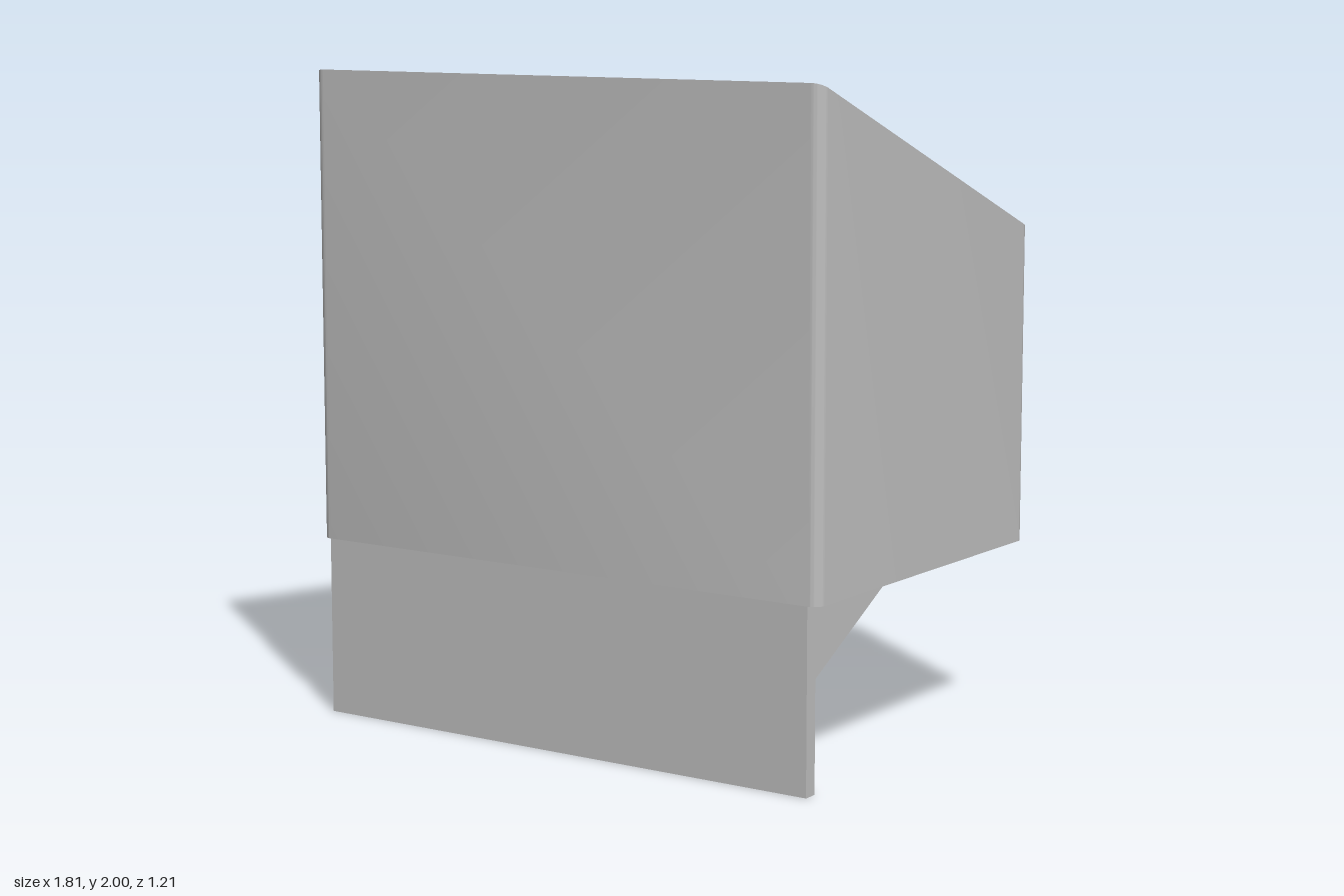
import * as THREE from 'three';
import { toCreasedNormals } from 'three/addons/utils/BufferGeometryUtils.js';

const BASE = 0.55, FRONT = 0.605, PLATE_BACK = 0.56;

// Rounded rectangle between x = -w..w and z = back..front, as a plan (shape y is -z)
function roundedPlan(w, back, front, r, PathType = THREE.Shape) {
  const p = new PathType(), lo = -front, hi = -back;
  p.absarc(w - r, lo + r, r, -Math.PI / 2, 0);
  p.absarc(w - r, hi - r, r, 0, Math.PI / 2);
  p.absarc(-w + r, hi - r, r, Math.PI / 2, Math.PI);
  p.absarc(-w + r, lo + r, r, Math.PI, Math.PI * 1.5);
  p.closePath();
  return p;
}

function extrudeUp(shape, y, height) {
  return new THREE.ExtrudeGeometry(shape, { depth: height, bevelEnabled: false, curveSegments: 8 })
    .rotateX(-Math.PI / 2).translate(0, y, 0);
}

export function createModel() {
  const group = new THREE.Group();
  const grey = new THREE.MeshStandardMaterial({ color: 0xc0c0c0 });
  grey.name = 'light grey';
  const add = (name, geometry) => {
    const mesh = new THREE.Mesh(geometry, grey);
    mesh.name = name;
    group.add(mesh);
  };

  // Bin walls, with the rim sloping down towards the back
  const plan = roundedPlan(0.907, -0.605, FRONT, 0.035);
  plan.holes.push(roundedPlan(0.87, -0.572, 0.555, 0.025, THREE.Path));
  const walls = extrudeUp(plan, BASE, 1);
  const pos = walls.attributes.position;
  for (let i = 0; i < pos.count; i++) {
    if (pos.getY(i) > 1) pos.setY(i, 1.76 + (0.24 * pos.getZ(i)) / FRONT);
  }
  add('binWalls', toCreasedNormals(walls, 0.6));

  // Floor slab inside the walls
  add('binFloor', extrudeUp(roundedPlan(0.87, -0.572, 0.555, 0.025), BASE, 0.036));

  // Flat apron continuing the front wall downwards
  add('frontApron', new THREE.BoxGeometry(1.744, BASE, FRONT - PLATE_BACK)
    .translate(0, BASE / 2, (FRONT + PLATE_BACK) / 2));

  // Two triangular support ribs under the floor
  const rib = new THREE.Shape([
    new THREE.Vector2(PLATE_BACK, 0), new THREE.Vector2(PLATE_BACK, BASE),
    new THREE.Vector2(-0.49, BASE), new THREE.Vector2(0.51, 0),
  ]);
  const thick = 0.07;
  for (const [name, x] of [['leftRib', 0.57], ['rightRib', -0.57]]) {
    add(name, new THREE.ExtrudeGeometry(rib, { depth: thick, bevelEnabled: false })
      .rotateY(-Math.PI / 2).translate(x + thick / 2, 0, 0));
  }
  return group;
}
